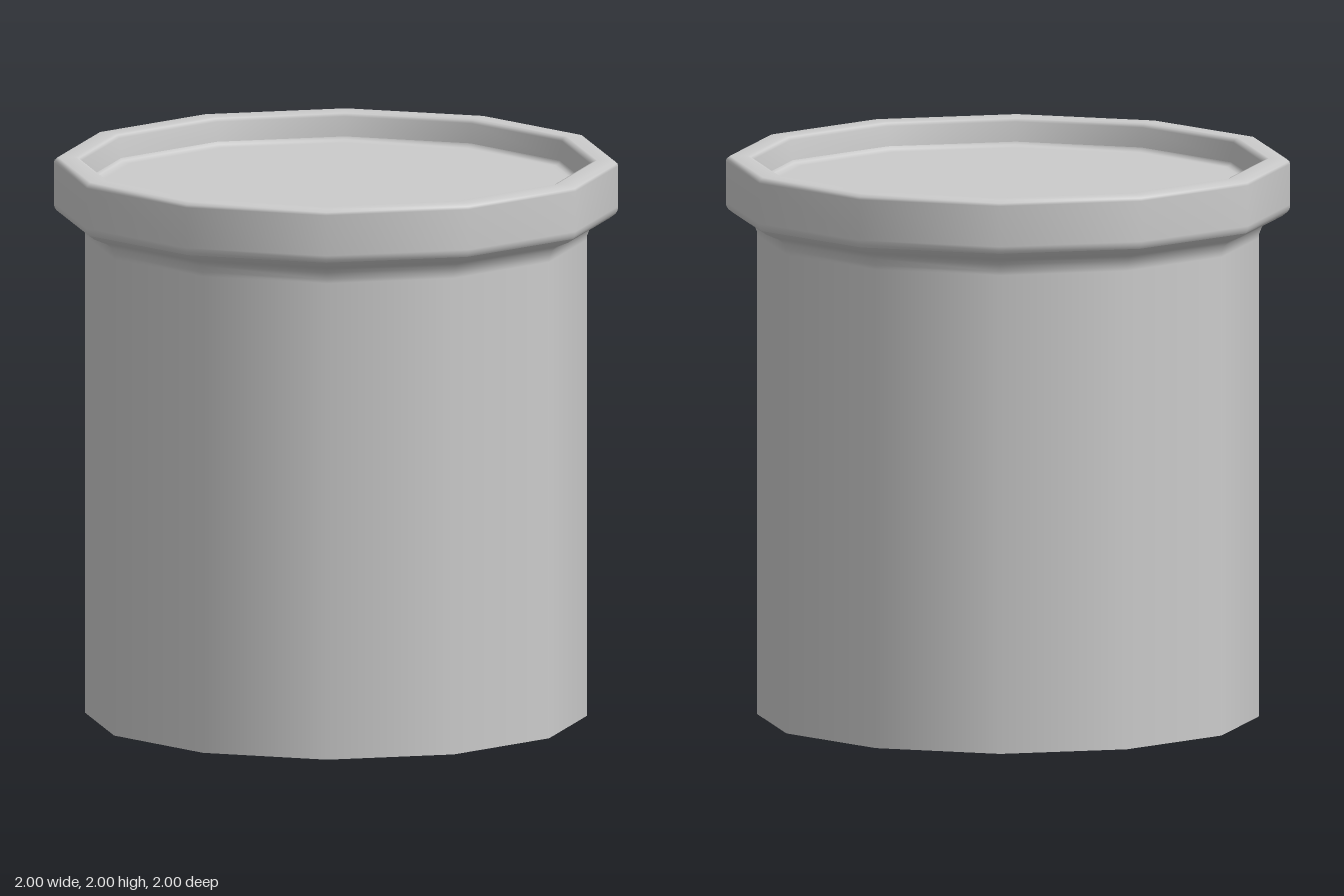
import * as THREE from 'three';

const SIDES = 12;

// Smoothly shaded twelve-sided surface of revolution from [radius, height] pairs
function turned(name, profile, material) {
  const points = profile.map(([r, y]) => new THREE.Vector2(r, y));
  const mesh = new THREE.Mesh(new THREE.LatheGeometry(points, SIDES), material);
  mesh.name = name;
  return mesh;
}

export function createModel() {
  const group = new THREE.Group();
  group.name = 'canister';
  const material = new THREE.MeshStandardMaterial({ color: 0xcccccc, side: THREE.DoubleSide });

  // Thin tube, open at the bottom, flaring out under the rim
  group.add(turned('body', [
    [0.89, 0], [0.89, 1.715], [0.89, 1.73], [0.9, 1.755],
    [0.915, 1.77], [0.94, 1.78], [0.97, 1.793], [0.99, 1.808],
  ], material));

  // Overhanging rim with softened edges and an inner wall
  group.add(turned('rim', [
    [0.99, 1.808], [0.998, 1.82], [1, 1.835], [1, 1.98], [0.997, 1.99],
    [0.985, 2], [0.925, 2], [0.912, 1.996], [0.906, 1.985], [0.897, 1.915],
  ], material));

  // Recessed flat lid
  group.add(turned('lid', [
    [0.897, 1.915], [0.893, 1.905], [0.88, 1.9], [0.86, 1.9], [0, 1.9],
  ], material));

  return group;
}
